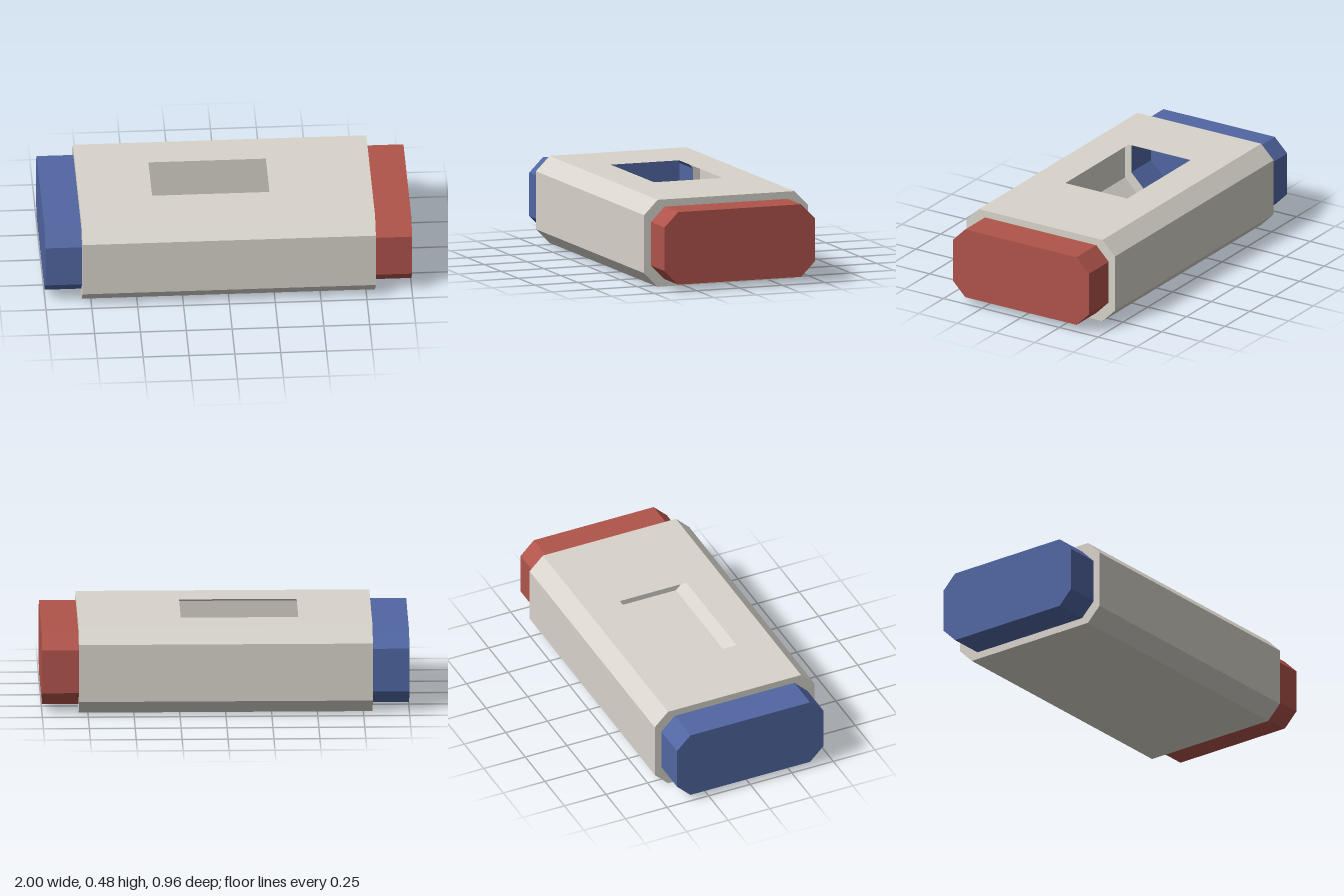
import * as THREE from 'three';

const material = (name, color) => {
  const m = new THREE.MeshStandardMaterial({ color, flatShading: true, side: THREE.DoubleSide });
  m.name = name;
  return m;
};

// Chamfered rectangle, counterclockwise seen from +x; 8 points, edge 4 is the top
const CUT = 0.08, MID = 0.24;
function octagon(w, h) {
  return [
    [-w + CUT, -h], [w - CUT, -h], [w, -h + CUT], [w, h - CUT],
    [w - CUT, h], [-w + CUT, h], [-w, h - CUT], [-w, -h + CUT],
  ].map(([u, y]) => new THREE.Vector2(u, y + MID));
}

// Flat-sided band along x around a profile, optionally leaving out one side
function band(profile, x0, x1, skip = -1) {
  const pos = [];
  profile.forEach((p, i) => {
    if (i === skip) return;
    const q = profile[(i + 1) % profile.length];
    const a = [x0, p.y, -p.x], b = [x1, p.y, -p.x];
    const c = [x1, q.y, -q.x], d = [x0, q.y, -q.x];
    pos.push(...a, ...d, ...c, ...a, ...c, ...b);
  });
  const g = new THREE.BufferGeometry();
  g.setAttribute('position', new THREE.Float32BufferAttribute(pos, 3));
  g.computeVertexNormals();
  return g;
}

// Flat end plate facing +x or -x, optionally with an opening
function endPlate(profile, side, opening) {
  const shape = new THREE.Shape(profile);
  if (opening) shape.holes.push(new THREE.Path(opening));
  return new THREE.ShapeGeometry(shape).rotateY(side * Math.PI / 2).translate(side * 0.8, 0, 0);
}

const rect = (x0, x1, z) => [[x0, -z], [x1, -z], [x1, z], [x0, z]].map(p => new THREE.Vector2(...p));

export function createModel() {
  const root = new THREE.Group();
  root.name = 'sleeveWithEnds';
  const grey = material('warm grey', 0xd8d4cb);
  const red = material('red', 0xb0544b);
  const blue = material('blue', 0x5167a2);
  const add = (name, geometry, mat) => {
    const mesh = new THREE.Mesh(geometry, mat);
    mesh.name = name;
    root.add(mesh);
  };

  const outer = octagon(0.48, 0.24);
  const inner = octagon(0.44, 0.2);

  // Hollow sleeve, with a window in its top panel
  add('sleeve', band(outer, -0.8, 0.8, 4), grey);
  const top = new THREE.Shape(rect(-0.8, 0.8, 0.4));
  top.holes.push(new THREE.Path(rect(-0.4, 0.24, 0.2)));
  add('topPanel', new THREE.ShapeGeometry(top).rotateX(-Math.PI / 2).translate(0, 0.48, 0), grey);

  // Rim and hollow coloured end on each side
  for (const [side, name, mat] of [[1, 'left', red], [-1, 'right', blue]]) {
    add(name + 'Rim', endPlate(outer, side, inner), grey);
    add(name + 'EndSides', band(inner, Math.min(side * 0.8, side), Math.max(side * 0.8, side)), mat);
    add(name + 'EndFace', endPlate(inner, side).translate(side * 0.2, 0, 0), mat);
  }
  return root;
}
